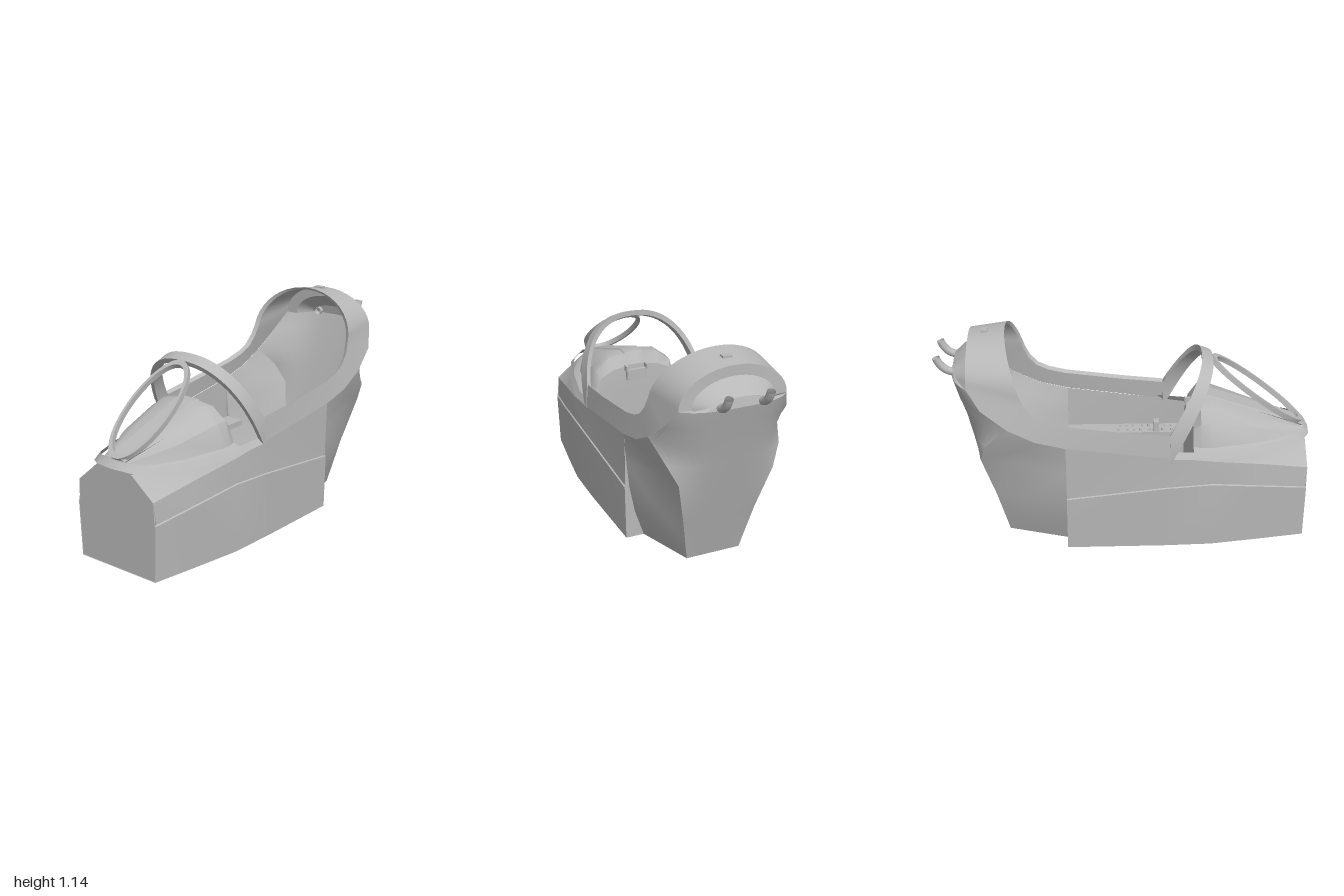
import * as THREE from 'three';
import { toCreasedNormals } from 'three/addons/utils/BufferGeometryUtils.js';

const grey = new THREE.MeshStandardMaterial({ color: 0xb8b8b8, side: THREE.DoubleSide });
grey.name = 'hull grey';

// Surface through rows of [x, y, z] points; closed joins the last column to the first.
function loft(rows, closed = false, crease = 0.7) {
  const n = rows[0].length, index = [];
  for (let i = 0; i < rows.length - 1; i++) {
    for (let j = 0; j < (closed ? n : n - 1); j++) {
      const k = (j + 1) % n, a = i * n, b = a + n;
      index.push(a + j, a + k, b + j, b + j, a + k, b + k);
    }
  }
  const g = new THREE.BufferGeometry();
  g.setAttribute('position', new THREE.Float32BufferAttribute(rows.flat(2), 3));
  g.setIndex(index);
  return toCreasedNormals(g, crease);
}

// Half section ending on the centre line, completed with its mirror image.
const across = half => [...half, ...half.slice(0, -1).reverse().map(([x, y, z]) => [x, y, -z])];
const flip = (rows, s) => rows.map(r => r.map(([x, y, z]) => [x, y, z * s]));

// Half hoop from the side (z = w) up to the crown (z = 0)
const STEPS = 10;
const hoop = (x0, x1, y0, y1, w) => Array.from({ length: STEPS + 1 }, (_, i) => {
  const a = Math.PI / 2 * i / STEPS, u = Math.sin(a);
  return [x0 + (x1 - x0) * u, y0 + (y1 - y0) * u, w * Math.cos(a)];
});

export function createModel() {
  const model = new THREE.Group();
  const add = (name, geometry, x = 0, y = 0, z = 0) => {
    const m = new THREE.Mesh(geometry, grey);
    m.name = name;
    m.position.set(x, y, z);
    model.add(m);
  };
  const box = (name, w, h, d, x, y, z) => add(name, new THREE.BoxGeometry(w, h, d), x, y, z);

  // Canopy sill, sweeping up into the rear hoop: upper and lower edges
  const rimTop = [[-.22, .67, .34], [0, .69, .345], [.32, .73, .345], [.42, .755, .342], [.48, .785, .338],
    [.525, .835, .333], ...hoop(.55, .63, .89, 1.14, .325)];
  const rimLow = [[-.22, .54, .35], [0, .57, .355], [.32, .61, .36], [.48, .65, .36], [.62, .72, .355],
    [.75, .82, .335], ...hoop(.82, .82, .92, 1.11, .29)];
  add('canopyRim', loft([across(rimTop), across(rimLow)]));
  const lip = rimTop.map(([x, y, z]) => [x + .008, y - .012, z * .94]);
  add('canopyRimLip', loft([across(rimTop), across(lip)]));

  // Tub sides: x, crease height, sill height, lower, crease and sill half widths
  const tub = [[-.96, .3, .42, .25, .262, .25], [-.7, .34, .47, .295, .31, .295],
    [-.45, .375, .51, .335, .348, .335], [-.2, .36, .545, .345, .356, .348], [.32, .3, .61, .35, .356, .356]];
  // Sloping deck between the tub and the windscreen base
  const deck = [[[-.96, .42, .25], [-.96, .53, .11]], [[-.7, .47, .295], [-.7, .53, .26]],
    [[-.45, .51, .335], [-.45, .53, .325]], [[-.22, .54, .347], [-.22, .545, .34]]];
  // Rear flank, inset behind the tub: columns from the tub back to the edge of the back panel
  const flank = [
    [[.32, 0, .25], [.48, 0, .2], [.64, 0, .15]],
    [[.32, .15, .3], [.5, .14, .245], [.67, .125, .175]],
    [[.32, .3, .33], [.53, .28, .275], [.7, .25, .2]],
    [[.32, .45, .345], [.62, .49, .275], [.77, .5, .26]],
    [[.32, .53, .352], [.56, .58, .325], [.73, .61, .312]],
    [[.32, .61, .356], [.48, .65, .358], [.62, .72, .354]]];
  // Flat end of the tub, filling the step to the flank
  const tubEnd = [[0, .25, .35], [.15, .3, .353], [.3, .33, .356], [.45, .345, .352], [.61, .356, .356]];
  // Windscreen foot strip
  const foot = [[-.99, .545, 0], [-.98, .545, .1], [-.92, .525, .18], [-.7, .515, .27], [-.45, .52, .333], [-.22, .535, .352]];

  for (const s of [1, -1]) {
    const side = s > 0 ? 'left' : 'right';
    add(side + 'TubWall', loft(flip(tub.map(([x, c, t, a, b, d]) =>
      [[x, 0, a], [x, c, b], [x, c + .004, b - .007], [x, t, d]]), s)));
    add(side + 'TubEnd', loft(flip(tubEnd.map(([y, a, b]) => [[.32, y, a], [.32, y, b]]), s)));
    add(side + 'Deck', loft(flip(deck, s)));
    add(side + 'RearFlank', loft(flip(flank, s), false, 0.9));
    // Side console with its switches
    box(side + 'Console', .64, .03, .106, 0, .365, s * .292);
    for (let i = 0; i < 16; i++) {
      box(side + 'Switch', .012, .014, .012, -.27 + .042 * Math.floor(i / 2) + (i % 3) * .006, .385,
        s * (.265 + .05 * (i % 2)));
    }
    // Curved pipe behind the headrest
    const path = new THREE.QuadraticBezierCurve3(new THREE.Vector3(.88, .94, s * .11),
      new THREE.Vector3(.955, .94, s * .11), new THREE.Vector3(.983, 1.02, s * .11));
    add(side + 'RearPipe', new THREE.TubeGeometry(path, 10, .021, 12));
  }
  const strip = across([...foot].reverse());
  add('windscreenFoot', loft([strip, strip.map(([x, y, z]) => [x + .035, y + .035, z * .95])]));

  // Floor and nose plates
  const floor = [[-.96, .25], [-.45, .335], [-.2, .345], [.32, .35], [.32, .25], [.64, .15]];
  add('floor', loft(floor.map(([x, z]) => [[x, 0, -z], [x, 0, z]])));
  const nose = [[0, .25], [.3, .262], [.42, .25], [.53, .11]];
  add('nosePlate', loft(nose.map(([y, z]) => [[-.955, y, -z], [-.955, y, z]])));

  // Back panel: centre x, centre y, then edge x, y, z
  const back = [[.64, 0, .64, 0, .15], [.676, .125, .67, .125, .175], [.7125, .25, .7, .25, .2],
    [.785, .5, .77, .5, .26], [.816, .61, .73, .61, .312], [.847, .72, .62, .72, .354],
    [.88, .83, .75, .82, .335], [.91, .93, .82, .92, .29]];
  const panel = back.map(([cx, cy, ex, ey, ez]) => {
    const row = [];
    for (let i = STEPS; i >= -STEPS; i--) {
      const t = Math.sin(Math.PI / 2 * i / STEPS), k = Math.abs(t) ** 3.6;
      row.push([cx + (ex - cx) * k, cy + (ey - cy) * k, ez * t]);
    }
    return row;
  });
  add('backPanel', loft(panel, false, 0.9));
  // Stepped fairing closing the hoop above the back panel
  add('headFairing', loft([panel[panel.length - 1], across(hoop(.895, .9, .925, .98, .16)),
    across(hoop(.825, .82, .92, 1.055, .225)), across(hoop(.82, .82, .92, 1.11, .29))], false, 0.5));

  // Instrument cowl: x, deck half width, cowl half width, crown height
  const cowl = [[-.95, .12, .09, .585], [-.7, .26, .205, .67], [-.45, .325, .26, .755],
    [-.39, .33, .26, .752], [-.35, .33, .245, .69]].map(([x, d, w, t]) => across([
    [x, .53, d], [x, .55, w], [x, .55 + (t - .55) * .6, w * .87], [x, t - .018, w * .55],
    [x, t - .008, .056], [x, t, .05], [x, t, 0]]));
  add('instrumentCowl', loft(cowl));
  const edge = cowl[cowl.length - 1];
  add('instrumentPanel', loft([edge, edge.map(([x, y, z]) => [x + .008, Math.min(y, .62) - .06, z]),
    edge.map(([x, , z]) => [x, .02, z])]));
  box('panelDisplay', .04, .06, .12, -.345, .635, 0);
  for (const z of [-.06, .06]) box('displayBracket', .05, .03, .015, -.345, .675, z);

  // Windscreen arch, leaning forward, with feet that widen into the sill
  const arch = [];
  for (let i = 0; i <= 40; i++) {
    const a = Math.PI * i / 40, c = Math.cos(a);
    const u = Math.sin(a) ** .85, v = Math.sign(c) * Math.abs(c) ** .85;
    const rear = -.22 - .18 * Math.max(0, (u - .297) / .703);
    arch.push([[rear, .535 + .455 * u, .352 * v], [-.24 - .22 * u, .535 + .43 * u, .352 * v],
      [-.24 - .21 * u, .535 + .405 * u, .33 * v], [rear, .535 + .425 * u, .33 * v]]);
  }
  add('windscreenArch', loft(arch, true));

  // Oval front pane frame
  const ring = [];
  for (let i = 0; i <= 48; i++) {
    const a = Math.PI * 2 * i / 48;
    const at = (k, h) => [-.705 + .25 * k * Math.cos(a) - .6 * h, .77 + .19 * k * Math.cos(a) + .8 * h,
      .143 * k * Math.sin(a)];
    ring.push([at(1, .01), at(.9, .01), at(.9, -.018), at(1, -.018)]);
  }
  add('frontPaneFrame', loft(ring, true));

  // Small fittings: throttle, wall box and hoop latch
  box('throttleBase', .04, .02, .03, -.18, .39, .26);
  box('throttleGrip', .03, .06, .05, -.18, .42, .25);
  box('wallBox', .06, .03, .02, -.2, .5, -.335);
  box('hoopLatch', .035, .02, .05, .735, 1.122, 0);
  return model;
}
